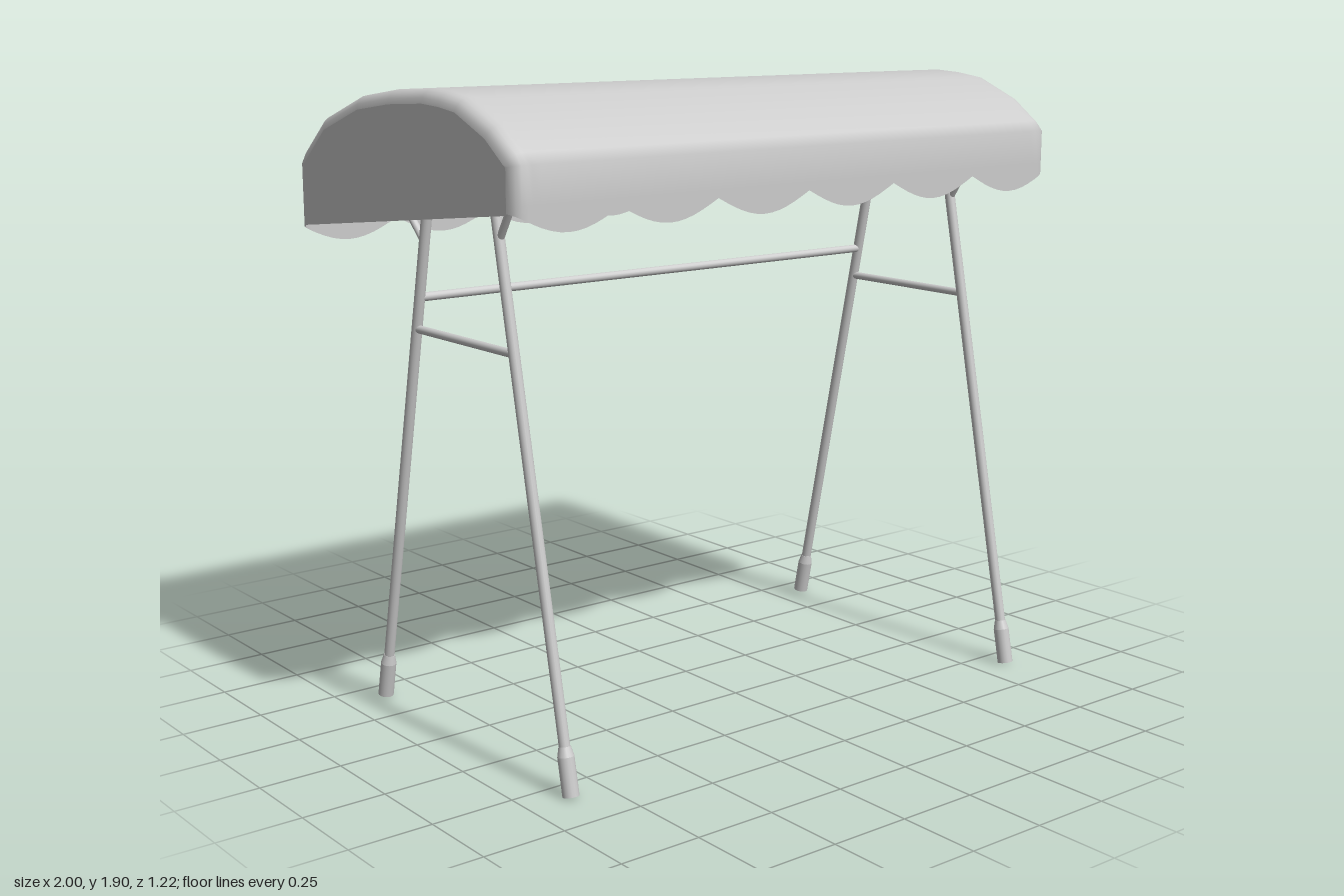
import * as THREE from 'three';

const mat = new THREE.MeshStandardMaterial({ color: 0xcccccc });
const cloth = new THREE.MeshStandardMaterial({ color: 0xcccccc, side: THREE.DoubleSide });
const V = (x, y, z) => new THREE.Vector3(x, y, z);

// Round bar between two points; r0 at a, r1 at b
function bar(name, a, b, r0, r1 = r0) {
  const d = b.clone().sub(a);
  const mesh = new THREE.Mesh(new THREE.CylinderGeometry(r1, r0, d.length(), 16), mat);
  mesh.position.copy(a).addScaledVector(d, 0.5);
  mesh.quaternion.setFromUnitVectors(V(0, 1, 0), d.normalize());
  mesh.name = name;
  return mesh;
}

// Canopy arch as [z, y], front to back
const ARCH = [[0.565, 1.62], [0.565, 1.725], [0.54, 1.755], [0.45, 1.82], [0.3, 1.883], [0.21, 1.895], [0.12, 1.9],
  [-0.06, 1.89], [-0.24, 1.866], [-0.45, 1.795], [-0.58, 1.69], [-0.605, 1.655], [-0.605, 1.5]];
const hemY = z => 1.6 + (z - 0.565) * (0.135 / 1.17);

// Arch moved inwards along its normals
function insetArch(d) {
  return ARCH.map(([z, y], i) => {
    const a = ARCH[Math.max(i - 1, 0)], b = ARCH[Math.min(i + 1, ARCH.length - 1)];
    const tz = b[0] - a[0], ty = b[1] - a[1], l = Math.hypot(tz, ty);
    return [z + (ty * -1 * -1 / l) * -d, y + (tz / l) * d];
  });
}

function geometry(pos, idx) {
  const g = new THREE.BufferGeometry();
  g.setAttribute('position', new THREE.Float32BufferAttribute(pos, 3));
  g.setIndex(idx);
  g.computeVertexNormals();
  return g;
}

// Roof sheet with rounded ends and scalloped front and back hems
function roofSheet() {
  const R = 0.04, stations = [];
  for (let i = 0; i <= 4; i++) {
    const t = (i / 4) * Math.PI / 2;
    stations.push([-1 + R * (1 - Math.cos(t)), R * (1 - Math.sin(t))]);
  }
  const N = 72;
  for (let i = 1; i < N; i++) {
    const x = -1 + 2 * i / N;
    if (Math.abs(x) < 1 - R - 0.005) stations.push([x, 0]);
  }
  for (let i = 4; i >= 0; i--) stations.push([-stations[i][0], stations[i][1]]);
  const pos = [], idx = [], n = ARCH.length + 2;
  stations.forEach(([x, d], s) => {
    const drop = 0.055 * Math.abs(Math.sin((x + 1) * 3 * Math.PI));
    const p = insetArch(d), zf = p[0][0], zb = p[p.length - 1][0];
    const row = [[zf, hemY(0.565) - drop], ...p, [zb, hemY(-0.605) - drop]];
    row.forEach(([z, y]) => pos.push(x, y, z));
    if (s) for (let j = 0; j < n - 1; j++) {
      const a = (s - 1) * n + j, b = a + n;
      idx.push(a, b, a + 1, b, b + 1, a + 1);
    }
  });
  return geometry(pos, idx);
}

// Flat end panel between the arch and the sloping hem
function endPanel(side) {
  const pos = [], idx = [];
  insetArch(0.04).forEach(([z, y], i) => {
    pos.push(side, y, z, side, hemY(z), z);
    if (!i) return;
    const a = 2 * i - 2;
    if (side > 0) idx.push(a, a + 1, a + 2, a + 1, a + 3, a + 2);
    else idx.push(a, a + 2, a + 1, a + 1, a + 2, a + 3);
  });
  return geometry(pos, idx);
}

export function createModel() {
  const root = new THREE.Group();
  const canopy = new THREE.Group();
  canopy.name = 'canopy';
  const add = (name, geo) => {
    const m = new THREE.Mesh(geo, cloth);
    m.name = name;
    canopy.add(m);
  };
  add('roofSheet', roofSheet());
  add('leftEndPanel', endPanel(1));
  add('rightEndPanel', endPanel(-1));
  root.add(canopy);

  const X = 0.865;
  // Leg: foot z, top z, brace start and end as [z, y]
  const legs = [
    { name: 'front', foot: 0.587, top: 0.209, brace: [[0.285, 1.5], [0.45, 1.76]] },
    { name: 'back', foot: -0.415, top: -0.022, brace: [[-0.105, 1.45], [-0.43, 1.76]] },
  ];
  for (const side of [1, -1]) {
    const x = X * side, frame = new THREE.Group();
    frame.name = side > 0 ? 'leftFrame' : 'rightFrame';
    for (const l of legs) {
      const a = V(x, 0.006, l.foot), b = V(x, 1.865, l.top);
      const at = t => a.clone().lerp(b, t);
      frame.add(bar(l.name + 'Leg', at(0.03), b, 0.016));
      frame.add(bar(l.name + 'FootCap', a, at(0.058), 0.024));
      frame.add(bar(l.name + 'FootCapTaper', at(0.058), at(0.073), 0.024, 0.017));
      const [[z0, y0], [z1, y1]] = l.brace;
      frame.add(bar(l.name + 'Brace', V(x, y0, z0), V(x, y1, z1), 0.011));
    }
    frame.add(bar('sideCrossbar', V(x, 1.195, 0.345), V(x, 1.195, -0.162), 0.012));
    root.add(frame);
  }

  // Long bars running across the width: name, y, z, half length, radius
  for (const [name, y, z, half, r] of [
    ['backCrossbar', 1.29, -0.143, X, 0.013],
    ['frontRidgeBar', 1.86, 0.209, X, 0.014],
    ['backRidgeBar', 1.86, -0.022, X, 0.014],
    ['frontBraceBar', 1.76, 0.45, X, 0.011],
    ['backBraceBar', 1.76, -0.43, X, 0.011],
    ['frontEdgeBar', 1.7, 0.545, 0.97, 0.011],
    ['backEdgeBar', 1.63, -0.585, 0.97, 0.011],
  ]) root.add(bar(name, V(-half, y, z), V(half, y, z), r));
  return root;
}
